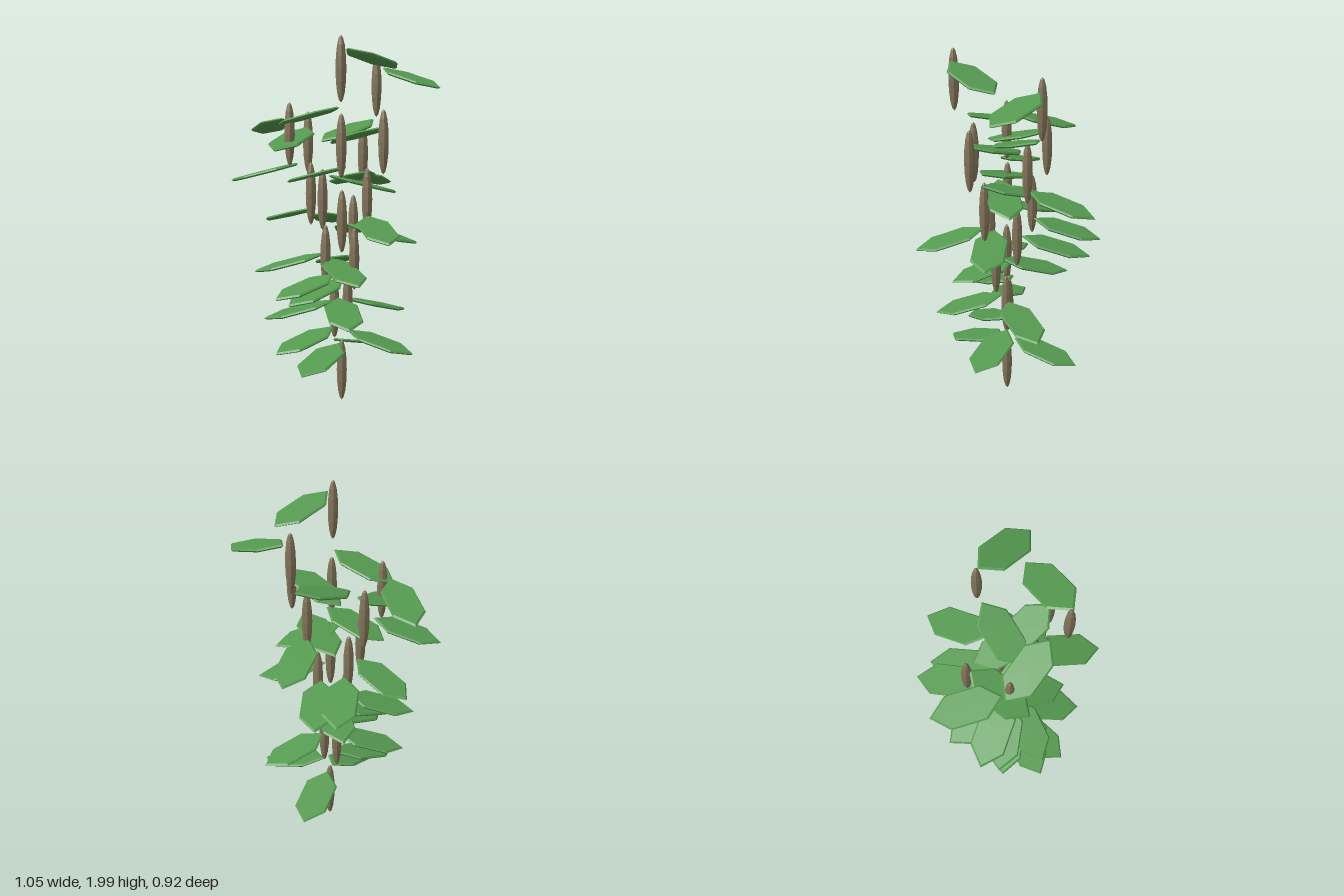
import * as THREE from 'three';

// Stem segment centres: x, y, z
const STEMS = [
  [0.045, 0.18, 0.06], [0.01, 0.53, 0.08], [0.07, 0.56, 0.04],
  [-0.02, 0.82, 0.12], [0.13, 0.81, 0.06], [0.055, 0.975, -0.03],
  [0.1, 1.02, 0.13], [-0.12, 1.11, 0.02], [-0.08, 1.16, 0.17],
  [0.215, 1.14, 0.06], [0.06, 1.36, -0.11], [0.15, 1.43, 0.2],
  [-0.23, 1.42, 0.01], [-0.16, 1.48, 0.25], [0.32, 1.45, 0.06],
  [0.07, 1.73, -0.22], [0.21, 1.83, 0.28],
];

// Leaves: outer tip x, y, z, then the x, z of the point they grow from
const LEAVES = [
  // lowest tier
  [0.09, 0.235, 0.46, 0.05, 0.08], [-0.1, 0.235, -0.335, 0.03, 0.03],
  [-0.09, 0.325, 0.46, 0.02, 0.09], [0.43, 0.3, -0.07, 0.08, 0.03],
  [0.32, 0.49, 0.35, 0.04, 0.09], [-0.28, 0.47, 0.33, 0.02, 0.09],
  [0.2, 0.475, -0.32, 0.07, 0.03], [-0.09, 0.62, 0.46, 0.03, 0.09],
  [-0.04, 0.585, 0.41, 0.03, 0.07],
  // middle tier
  [-0.33, 0.73, 0.35, -0.02, 0.12], [-0.23, 0.72, -0.15, 0.07, 0.07],
  [0.3, 0.7, 0.24, -0.01, 0.08], [-0.19, 0.875, -0.345, 0.03, -0.03],
  [-0.315, 0.93, -0.315, -0.11, 0], [0.41, 0.9, -0.13, 0.1, 0.1],
  [-0.46, 0.975, 0.1, -0.1, 0.14], [0.52, 0.95, 0.28, 0.21, 0.06],
  // upper tier
  [-0.08, 1.155, -0.465, 0.05, -0.11], [0.25, 1.16, -0.16, 0.03, 0.13],
  [-0.11, 1.19, -0.08, 0.23, 0.06], [-0.23, 1.215, 0.19, 0.13, 0.15],
  [-0.48, 1.22, 0.365, -0.11, 0.19], [-0.05, 1.425, 0.04, 0.33, 0.06],
  [0, 1.445, 0.18, 0.065, -0.15], [-0.15, 1.4, 0.39, -0.22, 0.02],
  [-0.53, 1.46, 0.055, -0.19, 0.265], [-0.22, 1.53, 0.275, 0.17, 0.22],
  // crown
  [0.475, 1.725, -0.24, 0.09, -0.24], [0.29, 1.83, -0.1, 0.24, 0.27],
];

const LENGTH = 0.39, DROP = 0.1;

export function createModel() {
  const model = new THREE.Group();
  const bark = new THREE.MeshStandardMaterial({ color: 0x85755a, flatShading: true });
  const green = new THREE.MeshStandardMaterial({ color: 0x559a50, flatShading: true });

  // Faceted spindle for every stem segment
  const spindle = new THREE.SphereGeometry(1, 8, 8).scale(0.028, 0.17, 0.028);
  for (const p of STEMS) {
    const stem = new THREE.Mesh(spindle, bark);
    stem.name = 'stemSegment';
    stem.position.set(...p);
    model.add(stem);
  }

  // Flat six-sided blade with a bevelled rim, long axis on z
  const profile = [[0, -0.008], [0.93, -0.008], [1, 0], [0.93, 0.008], [0, 0.008]]
    .map(([r, y]) => new THREE.Vector2(r, y));
  const blade = new THREE.LatheGeometry(profile, 6).scale(0.105, 1, LENGTH / 2);
  for (const [x, y, z, fromX, fromZ] of LEAVES) {
    const tip = new THREE.Vector3(x, y, z);
    // Outward direction, drooping by a fixed amount along the leaf
    const dir = new THREE.Vector3(x - fromX, 0, z - fromZ)
      .setLength(Math.sqrt(LENGTH ** 2 - DROP ** 2));
    dir.y = -DROP;
    const leaf = new THREE.Mesh(blade, green);
    leaf.name = 'leaf';
    leaf.position.copy(tip).addScaledVector(dir, -0.5);
    leaf.lookAt(tip);
    model.add(leaf);
  }
  return model;
}
